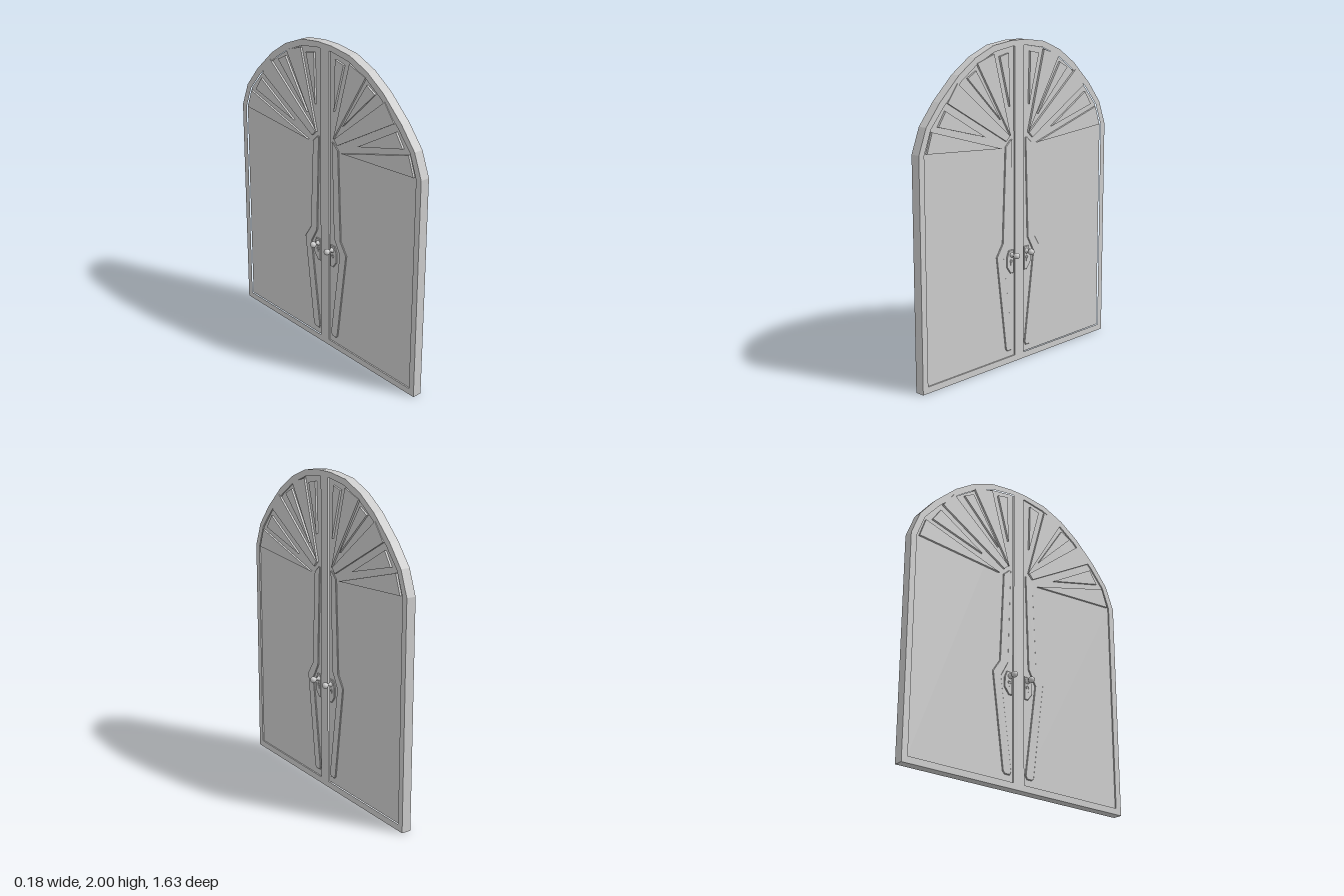
import * as THREE from 'three';

const material = new THREE.MeshStandardMaterial({ color: 0xcccccc });

// Outlines of one leaf as [distance from centre line, height]
const outer = [[0, 0], [0.815, 0], [0.815, 1.41], [0.757, 1.56], [0.65, 1.69], [0.5, 1.83],
  [0.365, 1.92], [0.217, 1.98], [0.06, 2], [0, 2]];
const inner = [[0.04, 0.04], [0.775, 0.04], [0.775, 1.405], [0.722, 1.545], [0.62, 1.663], [0.478, 1.795],
  [0.35, 1.882], [0.208, 1.942], [0.06, 1.965], [0.04, 1.965]];

// Sunburst: long rays alternating with short darts
const rays = [
  [[0.757, 1.41], [0.715, 1.53], [0.155, 1.366]],
  [[0.593, 1.68], [0.514, 1.785], [0.085, 1.436], [0.115, 1.404]],
  [[0.355, 1.885], [0.217, 1.93], [0.079, 1.436]],
];
const darts = [
  [[0.667, 1.552], [0.609, 1.637], [0.291, 1.451]],
  [[0.434, 1.806], [0.365, 1.843], [0.164, 1.541]],
  [[0.169, 1.912], [0.095, 1.928], [0.085, 1.61]],
];
const strap = [[0.058, 1.41], [0.075, 1.408], [0.117, 1.37], [0.143, 0.78], [0.196, 0.7], [0.117, 0.095],
  [0.102, 0.08], [0.064, 0.08], [0.053, 0.103], [0.132, 0.683], [0.079, 0.78]];
const lockPlate = [[0.048, 0.725], [0.088, 0.725], [0.106, 0.683], [0.106, 0.62], [0.074, 0.577], [0.048, 0.577]];

const toPoints = (pts, side) => pts.map(([u, y]) => new THREE.Vector2(u * side, y));

// Extrude an outline through the door thickness, equally to both faces
function slab(name, pts, side, half, { hole, bevel = 0 } = {}) {
  const shape = new THREE.Shape(toPoints(pts, side));
  if (hole) shape.holes.push(new THREE.Path(toPoints(hole, side)));
  const depth = 2 * (half - bevel);
  const geometry = new THREE.ExtrudeGeometry(shape, {
    depth, bevelEnabled: bevel > 0, bevelThickness: bevel, bevelSize: bevel, bevelOffset: -bevel, bevelSegments: 1,
  });
  geometry.translate(0, 0, -depth / 2).rotateY(-Math.PI / 2);
  const mesh = new THREE.Mesh(geometry, material);
  mesh.name = name;
  return mesh;
}

// Turned knob with a flared stem, pointing out of one face
function knob(face) {
  const profile = [[0, 0.018], [0.016, 0.018], [0.016, 0.034], [0.009, 0.04], [0.007, 0.052]]
    .map(([r, h]) => new THREE.Vector2(r, h));
  for (let i = 1; i <= 10; i++) {
    const a = -Math.PI / 2 + 0.35 + (i / 10) * (Math.PI - 0.35);
    profile.push(new THREE.Vector2(Math.max(0, 0.02 * Math.cos(a)), 0.07 + 0.02 * Math.sin(a)));
  }
  const mesh = new THREE.Mesh(new THREE.LatheGeometry(profile, 16), material);
  mesh.rotation.z = -face * Math.PI / 2;
  mesh.name = 'knob';
  return mesh;
}

function createLeaf(side) {
  const leaf = new THREE.Group();
  leaf.name = side > 0 ? 'frontLeaf' : 'backLeaf';
  leaf.add(slab('frame', outer, side, 0.03, { hole: inner }));
  leaf.add(slab('panel', inner, side, 0.021));
  rays.forEach((p) => leaf.add(slab('sunburstRay', p, side, 0.034)));
  darts.forEach((p) => leaf.add(slab('sunburstDart', p, side, 0.034)));
  leaf.add(slab('strap', strap, side, 0.027, { bevel: 0.004 }));
  leaf.add(slab('lockPlate', lockPlate, side, 0.028, { bevel: 0.003 }));

  // Knob and keyhole on each face
  for (const face of [1, -1]) {
    const handle = knob(face);
    handle.position.set(0, 0.695, side * 0.066);
    leaf.add(handle);
    const ring = new THREE.Mesh(new THREE.TorusGeometry(0.009, 0.003, 6, 12), material);
    ring.name = 'keyholeRing';
    ring.rotation.y = Math.PI / 2;
    ring.position.set(face * 0.028, 0.655, side * 0.07);
    const slot = new THREE.Mesh(new THREE.BoxGeometry(0.006, 0.018, 0.012), material);
    slot.name = 'keyholeSlot';
    slot.position.set(face * 0.028, 0.637, side * 0.07);
    leaf.add(ring, slot);
  }
  return leaf;
}

export function createModel() {
  const model = new THREE.Group();
  model.name = 'archedDoubleDoor';
  model.add(createLeaf(1), createLeaf(-1));
  return model;
}
